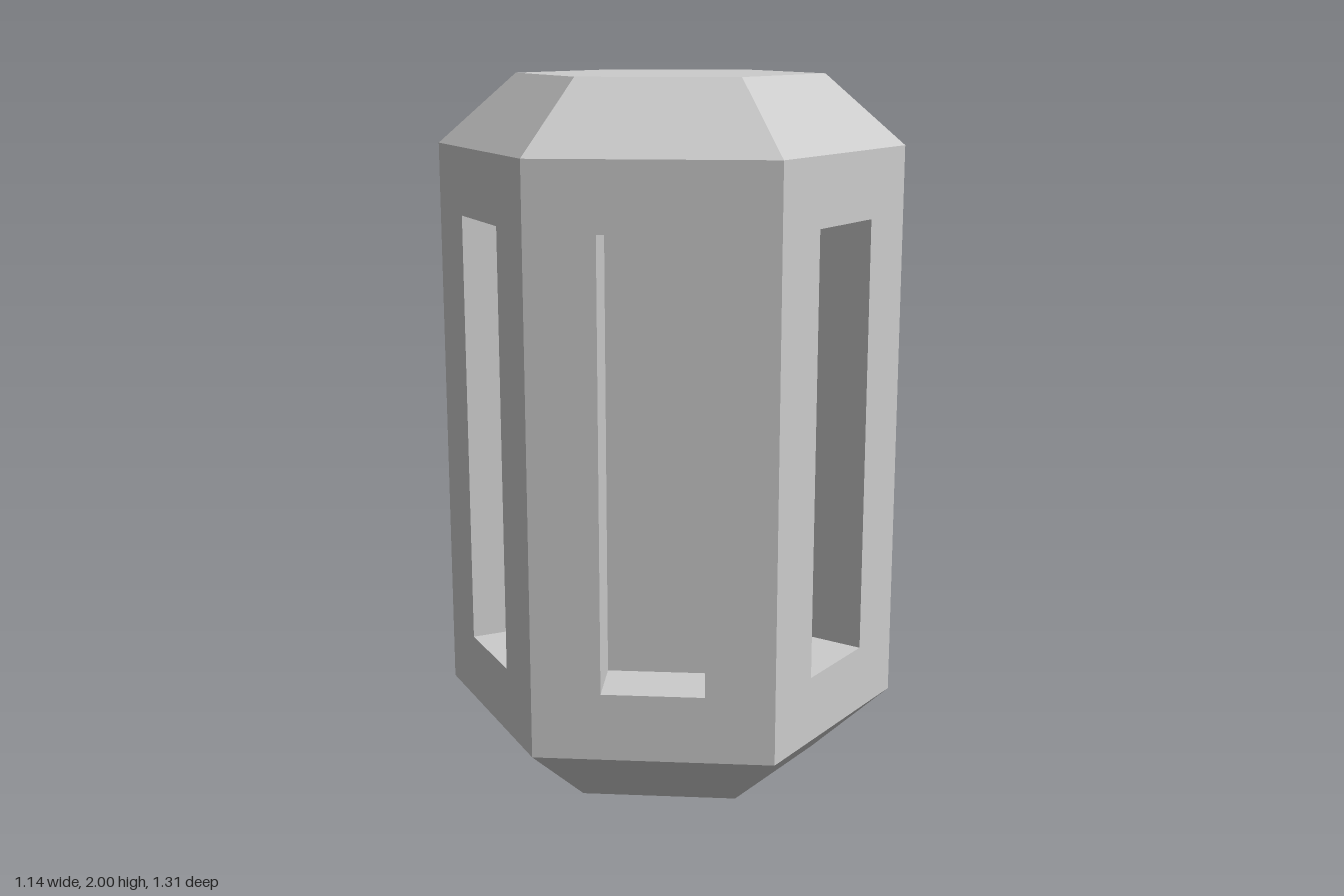
import * as THREE from 'three';

const SIDES = 6;
const R = 0.657, CAP_R = 0.432;          // corner radii of body and end caps
const Y0 = 0.195, Y1 = 1.805, H = 2;     // body limits and total height
const APOTHEM = R * Math.cos(Math.PI / SIDES);
const SLOT_W = 0.28, SLOT_H = 1.234, DEPTH = 0.175;

const bodyMat = new THREE.MeshStandardMaterial({ color: 0xcccccc, flatShading: true });
const panelMat = new THREE.MeshStandardMaterial({ color: 0xeeeeee, flatShading: true });

function part(name, geometry, material = bodyMat) {
  const mesh = new THREE.Mesh(geometry, material);
  mesh.name = name;
  return mesh;
}

function rect(ClassType, w, h) {
  const x = w / 2, y = h / 2;
  return new ClassType([[-x, -y], [x, -y], [x, y], [-x, y]].map(p => new THREE.Vector2(...p)));
}

// Bevelled six-sided end
function endCap(name, profile) {
  return part(name, new THREE.LatheGeometry(profile.map(p => new THREE.Vector2(...p)), SIDES));
}

// One flat side with a recessed slot, centred on the origin's +z side
function createSide() {
  const side = new THREE.Group();
  side.name = 'side';

  const outline = rect(THREE.Shape, R, Y1 - Y0);
  outline.holes.push(rect(THREE.Path, SLOT_W, SLOT_H));
  const face = part('sideFace', new THREE.ShapeGeometry(outline));
  face.position.z = APOTHEM;
  side.add(face);

  // Slot walls face the middle of the opening
  for (const s of [-1, 1]) {
    const wall = part('slotWall', new THREE.PlaneGeometry(DEPTH, SLOT_H));
    wall.position.set(s * SLOT_W / 2, 0, APOTHEM - DEPTH / 2);
    wall.rotation.y = -s * Math.PI / 2;
    const end = part('slotEnd', new THREE.PlaneGeometry(SLOT_W, DEPTH));
    end.position.set(0, s * SLOT_H / 2, APOTHEM - DEPTH / 2);
    end.rotation.x = s * Math.PI / 2;
    side.add(wall, end);
  }

  // Lighter panel at the back of the slot
  const panel = part('slotPanel', new THREE.PlaneGeometry(SLOT_W, SLOT_H), panelMat);
  panel.position.z = APOTHEM - DEPTH;
  side.add(panel);
  return side;
}

export function createModel() {
  const model = new THREE.Group();
  model.name = 'hexagonalCapsule';

  model.add(
    endCap('bottomCap', [[0, 0], [CAP_R, 0], [R, Y0]]),
    endCap('topCap', [[R, Y1], [CAP_R, H], [0, H]])
  );

  for (let i = 0; i < SIDES; i++) {
    const side = createSide();
    side.position.y = H / 2;
    side.rotation.y = (i + 0.5) * 2 * Math.PI / SIDES;
    model.add(side);
  }
  return model;
}
